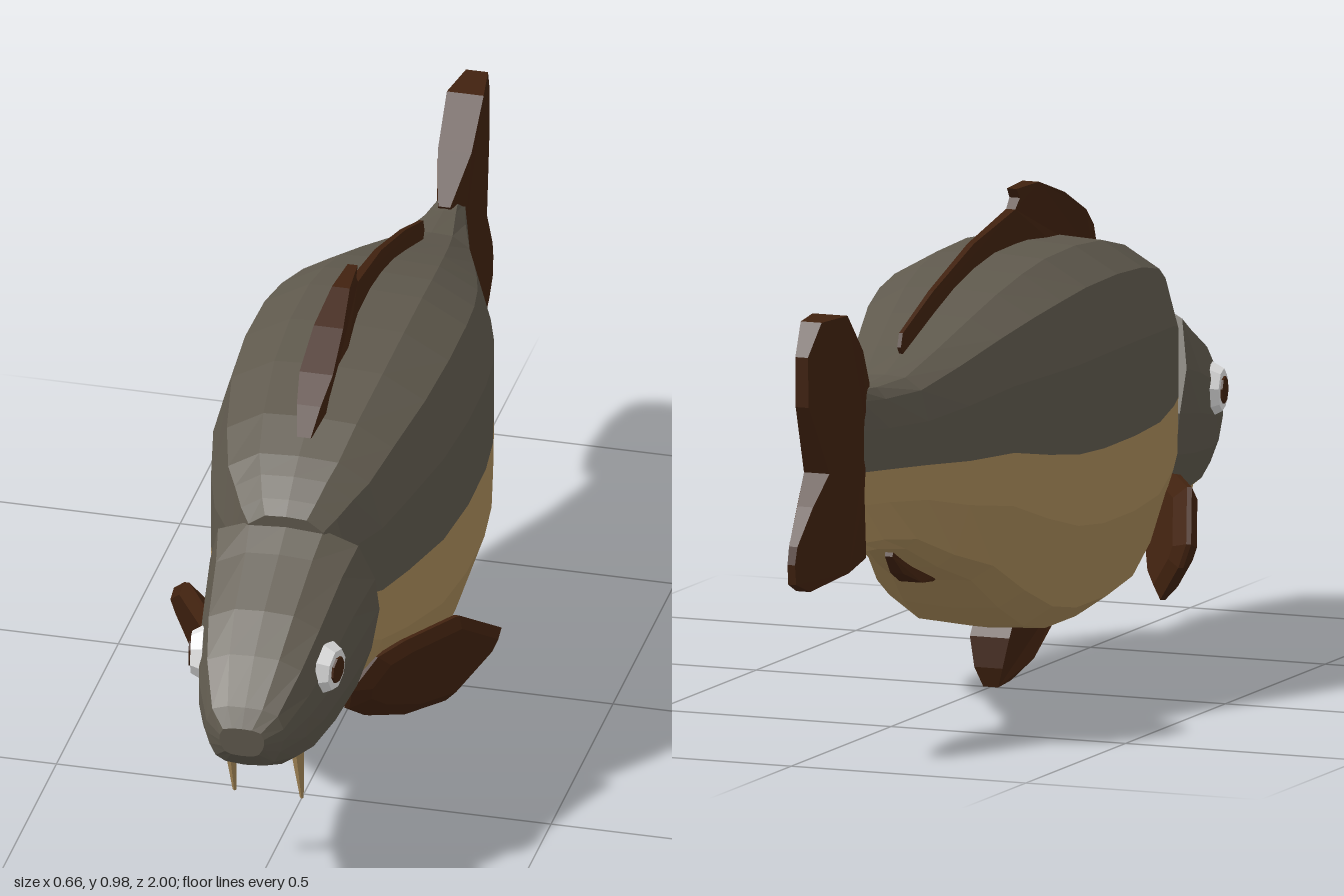
import * as THREE from 'three';

const mat = (name, color) => Object.assign(new THREE.MeshStandardMaterial({ color, flatShading: true }), { name });

// Loft of mirrored cross-sections along z; rows are [z, top, bottom, halfWidth].
// The profile runs from the top centre to the bottom centre in unit coordinates.
function loft(rows, profile, shift, isLower) {
  const half = profile.length - 1;
  const ring = [...profile, ...profile.slice(1, half).reverse().map(([x, y]) => [-x, y])];
  const n = ring.length, pos = [], groups = [[], []];
  rows.forEach(([z, top, bottom, w], i) => {
    for (const [x, y] of ring) {
      pos.push(x * w, (top + bottom) / 2 + y * (top - bottom) / 2, z + shift(i, y));
    }
  });
  const last = rows.length - 1, front = pos.length / 3;
  pos.push(0, (rows[0][1] + rows[0][2]) / 2, rows[0][0]);
  pos.push(0, (rows[last][1] + rows[last][2]) / 2, rows[last][0]);
  for (let j = 0; j < n; j++) {
    const k = (j + 1) % n;
    const step = j < half ? j : n - 1 - j;
    for (let i = 0; i < last; i++) {
      const a = i * n + j, b = i * n + k;
      groups[isLower(i, step) ? 1 : 0].push(a, b, b + n, a, b + n, a + n);
    }
    groups[0].push(front, k, j);
    groups[isLower(last - 1, step) ? 1 : 0].push(front + 1, last * n + j, last * n + k);
  }
  const g = new THREE.BufferGeometry();
  g.setAttribute('position', new THREE.Float32BufferAttribute(pos, 3));
  g.setIndex([...groups[0], ...groups[1]]);
  g.addGroup(0, groups[0].length, 0);
  g.addGroup(groups[0].length, groups[1].length, 1);
  const flat = g.toNonIndexed();
  flat.computeVertexNormals();
  return flat;
}

// Fin from a side outline of [z, y]; thick and plane give half thickness and sideways offset
function finGeometry(outline, thick, plane = () => 0, bevel = 0) {
  const shape = new THREE.Shape(outline.map(([z, y]) => new THREE.Vector2(-z, y)));
  const g = new THREE.ExtrudeGeometry(shape, {
    depth: bevel ? 0.4 : 2, bevelEnabled: bevel > 0, bevelThickness: 0.8,
    bevelSize: bevel, bevelOffset: -bevel, bevelSegments: 1,
  });
  g.translate(0, 0, bevel ? -0.2 : -1);
  g.rotateY(Math.PI / 2);
  const p = g.attributes.position;
  for (let i = 0; i < p.count; i++) {
    const y = p.getY(i), z = p.getZ(i);
    p.setX(i, p.getX(i) * thick(z, y) + plane(z, y));
  }
  g.computeVertexNormals();
  return g;
}

// Piecewise linear lookup over [position, value] pairs in rising order
function ramp(pairs, t) {
  if (t <= pairs[0][0]) return pairs[0][1];
  for (let i = 1; i < pairs.length; i++) {
    const [a, va] = pairs[i - 1], [b, vb] = pairs[i];
    if (t <= b) return va + (vb - va) * (t - a) / (b - a);
  }
  return pairs[pairs.length - 1][1];
}

export function createModel() {
  const model = new THREE.Group();
  model.name = 'fish';
  const back = mat('back grey', 0x5f594d);
  const belly = mat('belly tan', 0xa98b5a);
  const finBrown = mat('fin brown', 0x41220f);
  const eyeWhite = mat('eye white', 0xe4e4e4);
  const add = (name, geometry, material) => {
    const m = new THREE.Mesh(geometry, material);
    m.name = name;
    model.add(m);
    return m;
  };

  // Body, grey above the middle line and tan below
  add('body', loft([
    [0.645, 0.70, 0.36, 0.09], [0.62, 0.725, 0.32, 0.115], [0.58, 0.755, 0.26, 0.142],
    [0.54, 0.78, 0.225, 0.17], [0.45, 0.82, 0.185, 0.2], [0.3, 0.855, 0.135, 0.233],
    [0.15, 0.868, 0.118, 0.245], [0, 0.865, 0.118, 0.243], [-0.1, 0.85, 0.138, 0.232],
    [-0.2, 0.825, 0.19, 0.21], [-0.3, 0.79, 0.26, 0.178], [-0.42, 0.745, 0.305, 0.135],
    [-0.53, 0.705, 0.358, 0.092], [-0.63, 0.7, 0.372, 0.053], [-0.705, 0.705, 0.375, 0.03],
  ], [[0, 1], [0.47, 0.985], [0.84, 0.85], [1, 0.5], [1, 0], [0.99, -0.4], [0.75, -0.86],
    [0.48, -0.98], [0, -1]], () => 0, (i, step) => step >= 4), [back, belly]);

  // Head with slanted gill edge and tan throat
  add('head', loft([
    [1, 0.415, 0.355, 0.045], [0.975, 0.45, 0.322, 0.078], [0.9, 0.525, 0.285, 0.112],
    [0.82, 0.583, 0.258, 0.132], [0.7, 0.645, 0.245, 0.15], [0.555, 0.68, 0.255, 0.167],
  ], [[0, 1], [0.45, 0.98], [0.85, 0.83], [1, 0.4], [1, 0], [0.92, -0.4], [0.76, -0.78],
    [0.5, -0.95], [0, -1]],
  (i, y) => (i === 5 ? (y > 0 ? 0.085 * y : -0.025 * y) : 0),
  (i, step) => i >= 3 && step >= 6), [back, belly]);

  // Dorsal fin: thick leading lobe and a thin trailing strip
  add('dorsalFin', finGeometry([
    [0.5, 0.8], [0.46, 0.85], [0.4, 0.89], [0.3, 0.94], [0.2, 0.975], [0.105, 0.975],
    [0.12, 0.955], [0.1, 0.935], [-0.1, 0.898], [-0.3, 0.835], [-0.45, 0.775], [-0.46, 0.748],
    [-0.44, 0.72], [-0.3, 0.76], [-0.1, 0.82], [0.1, 0.84], [0.3, 0.82], [0.45, 0.79],
  ], (z) => ramp([[-0.46, 0.004], [0.08, 0.008], [0.2, 0.018], [0.32, 0.032], [0.42, 0.034], [0.5, 0.014]], z)), finBrown);

  // Forked tail
  add('tailFin', finGeometry([
    [-0.635, 0.705], [-0.72, 0.785], [-0.805, 0.868], [-0.9, 0.868], [-0.948, 0.805],
    [-0.945, 0.705], [-0.872, 0.563], [-0.93, 0.505], [-0.99, 0.435], [-1, 0.4], [-0.995, 0.36],
    [-0.94, 0.338], [-0.8, 0.355], [-0.702, 0.37], [-0.712, 0.5], [-0.685, 0.61],
  ], (z) => ramp([[-1, 0.008], [-0.95, 0.013], [-0.88, 0.026], [-0.8, 0.038], [-0.7, 0.033], [-0.635, 0.012]], z)), finBrown);

  // Pelvic and anal fins under the belly
  add('pelvicFin', finGeometry([
    [0.31, 0.135], [0.27, 0.1], [0.15, 0.035], [0.06, 0.005], [0, 0], [-0.012, 0.04],
    [-0.006, 0.1], [0.02, 0.135], [0.15, 0.15],
  ], (z, y) => ramp([[0, 0.016], [0.04, 0.03], [0.1, 0.042]], y) * ramp([[0.2, 1], [0.31, 0.4]], z)), finBrown);
  add('analFin', finGeometry([
    [-0.28, 0.27], [-0.32, 0.262], [-0.4, 0.272], [-0.47, 0.3], [-0.512, 0.34], [-0.5, 0.37], [-0.38, 0.32],
  ], (z) => ramp([[-0.51, 0.008], [-0.4, 0.024], [-0.28, 0.01]], z)), finBrown);

  for (const s of [1, -1]) {
    const side = s > 0 ? 'left' : 'right';

    // Pectoral fin sweeping out and back
    add(side + 'PectoralFin', finGeometry([
      [0.58, 0.29], [0.54, 0.35], [0.48, 0.36], [0.355, 0.36], [0.225, 0.27], [0.235, 0.22],
      [0.31, 0.14], [0.41, 0.155], [0.51, 0.2], [0.57, 0.245],
    ], () => 0.026, (z, y) => s * (0.1 + (0.58 - z) * 0.62 + (y - 0.25) * 0.3), 0.025), finBrown);

    // Eye disc with pupil
    const eye = new THREE.Group();
    eye.name = side + 'Eye';
    const white = new THREE.Mesh(new THREE.CylinderGeometry(0.042, 0.055, 0.024, 8), eyeWhite);
    white.name = 'eyeRing';
    const pupil = new THREE.Mesh(new THREE.CylinderGeometry(0.027, 0.027, 0.006, 8), finBrown);
    pupil.name = 'pupil';
    pupil.position.y = 0.0135;
    eye.add(white, pupil);
    eye.position.set(s * 0.135, 0.472, 0.818);
    eye.quaternion.setFromUnitVectors(new THREE.Vector3(0, 1, 0), new THREE.Vector3(s, 0, 0.18).normalize());
    model.add(eye);

    // Mouth barbel
    const barbel = add(side + 'Barbel', new THREE.CylinderGeometry(0.015, 0.004, 0.14, 5), belly);
    barbel.position.set(s * 0.068, 0.224, 0.804);
    barbel.rotation.x = 0.26;
  }
  return model;
}
